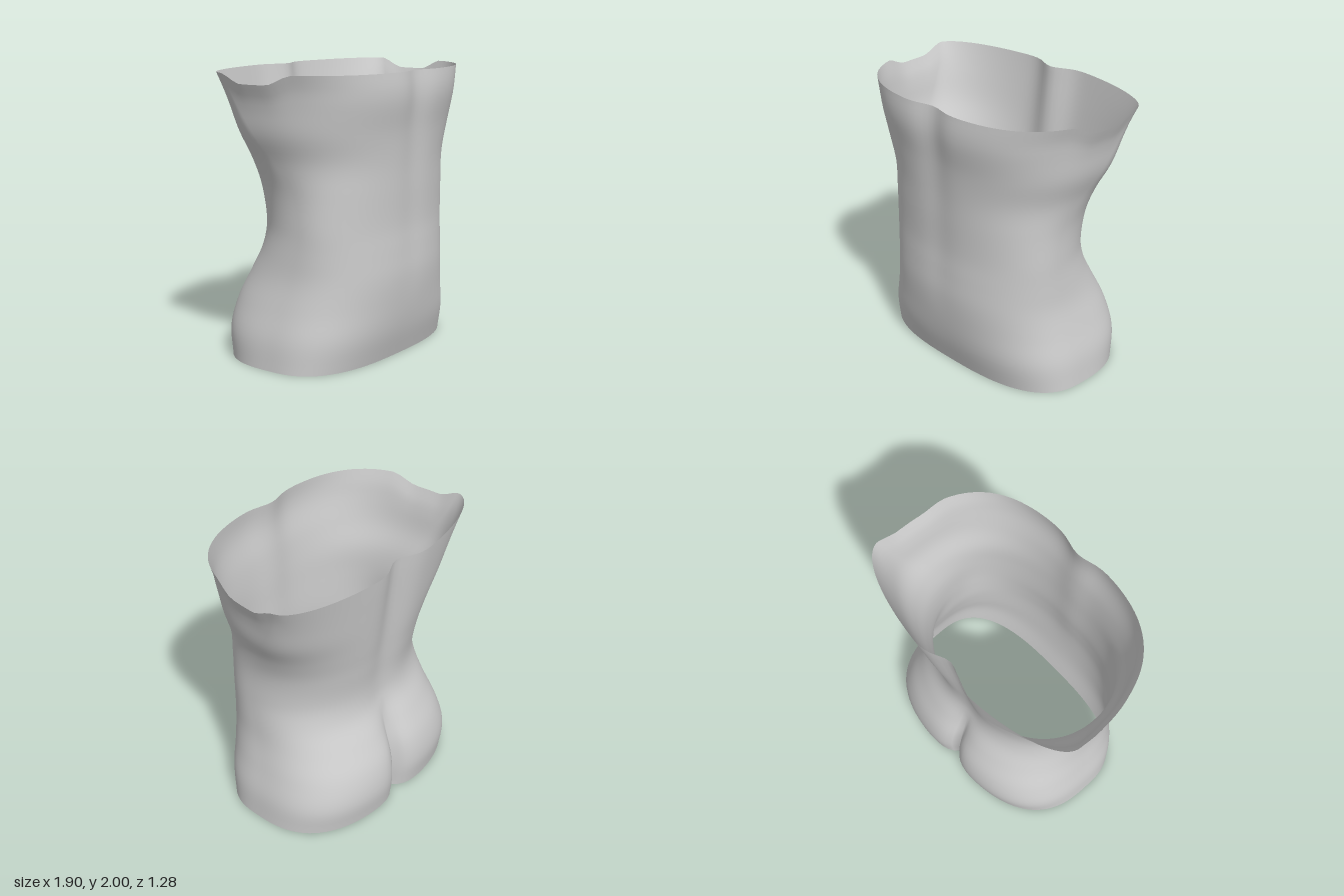
import * as THREE from 'three';

// Cross-sections from bottom to top:
// y, half width, z of widest point, front z, back z, front squareness, back squareness,
// front groove depth, back groove depth, cleft depth
const SECTIONS = [
  [0.0, 0.87, 0.0, 0.485, -0.63, 2.8, 2.7, 0.0, 0.0, 0.11],
  [0.2, 0.85, 0.0, 0.54, -0.655, 2.7, 2.8, 0.0, 0.0, 0.13],
  [0.4, 0.80, 0.03, 0.572, -0.625, 2.5, 2.7, 0.0, 0.0, 0.12],
  [0.6, 0.755, 0.08, 0.59, -0.54, 2.4, 2.5, 0.005, 0.02, 0.06],
  [0.78, 0.74, 0.13, 0.587, -0.455, 2.3, 2.35, 0.01, 0.025, 0.0],
  [0.95, 0.735, 0.16, 0.58, -0.44, 2.25, 2.2, 0.012, 0.025, 0.0],
  [1.2, 0.74, 0.12, 0.587, -0.475, 2.3, 2.2, 0.015, 0.04, 0.0],
  [1.4, 0.78, 0.0, 0.595, -0.51, 2.4, 2.15, 0.02, 0.055, 0.0],
  [1.6, 0.855, -0.12, 0.61, -0.54, 2.6, 2.1, 0.025, 0.065, 0.0],
  [1.8, 0.89, -0.22, 0.642, -0.57, 2.8, 2.05, 0.04, 0.075, 0.0],
  [1.9, 0.912, -0.27, 0.645, -0.585, 2.9, 2.0, 0.045, 0.08, 0.0],
  [2.0, 0.95, -0.3, 0.633, -0.598, 3.0, 2.0, 0.045, 0.085, 0.0],
];
const ROWS = 50;
const COLS = 128;

// Smooth blend between neighbouring sections
function sectionAt(y) {
  let i = 0;
  while (i < SECTIONS.length - 2 && y > SECTIONS[i + 1][0]) i++;
  const at = (k) => SECTIONS[Math.min(Math.max(k, 0), SECTIONS.length - 1)];
  const [p, a, b, n] = [at(i - 1), at(i), at(i + 1), at(i + 2)];
  const h = b[0] - a[0], t = (y - a[0]) / h;
  return a.map((v, k) => {
    const m0 = (b[k] - p[k]) / (b[0] - p[0]) * h;
    const m1 = (n[k] - v) / (n[0] - a[0]) * h;
    const t2 = t * t, t3 = t2 * t;
    return (2 * t3 - 3 * t2 + 1) * v + (t3 - 2 * t2 + t) * m0
      + (3 * t2 - 2 * t3) * b[k] + (t3 - t2) * m1;
  });
}

function torsoGeometry() {
  const positions = [], indices = [];
  for (let r = 0; r <= ROWS; r++) {
    const y = 2 * r / ROWS;
    const [, hw, zc, front, back, nf, nb, frontGroove, backGroove, cleft] = sectionAt(y);
    for (let c = 0; c < COLS; c++) {
      const a = c / COLS * Math.PI * 2;
      const s = Math.sin(a), k = Math.cos(a);
      const n = k > 0 ? nf : nb;
      const rad = Math.pow(Math.abs(s) ** n + Math.abs(k) ** n, -1 / n);
      const x = hw * s * rad;
      let z = zc + (k > 0 ? front - zc : zc - back) * k * rad;
      // Midline grooves on belly and spine, sharp cleft low on the back
      const soft = Math.exp(-((x / 0.13) ** 2));
      if (k > 0) z -= frontGroove * soft;
      else z += backGroove * soft + Math.max(cleft, 0) * Math.exp(-Math.abs(x) / 0.07);
      // Shallow armhole dip in the upper rim at both sides
      const dip = THREE.MathUtils.smoothstep(z, -0.33, -0.14)
        * (1 - THREE.MathUtils.smoothstep(z, 0.04, 0.24))
        * THREE.MathUtils.smoothstep(y, 1.6, 2);
      positions.push(x, y - 0.068 * dip, z);
      if (r < ROWS) {
        const d = (c + 1) % COLS;
        const p = r * COLS + c, q = r * COLS + d;
        indices.push(p, q, q + COLS, p, q + COLS, p + COLS);
      }
    }
  }
  const g = new THREE.BufferGeometry();
  g.setAttribute('position', new THREE.Float32BufferAttribute(positions, 3));
  g.setIndex(indices);
  g.computeVertexNormals();
  return g;
}

export function createModel() {
  const group = new THREE.Group();
  group.name = 'torso';
  const shellGrey = new THREE.MeshStandardMaterial({ color: 0xcccccc, side: THREE.DoubleSide });
  shellGrey.name = 'shellGrey';
  const shell = new THREE.Mesh(torsoGeometry(), shellGrey);
  shell.name = 'torsoShell';
  group.add(shell);
  return group;
}
